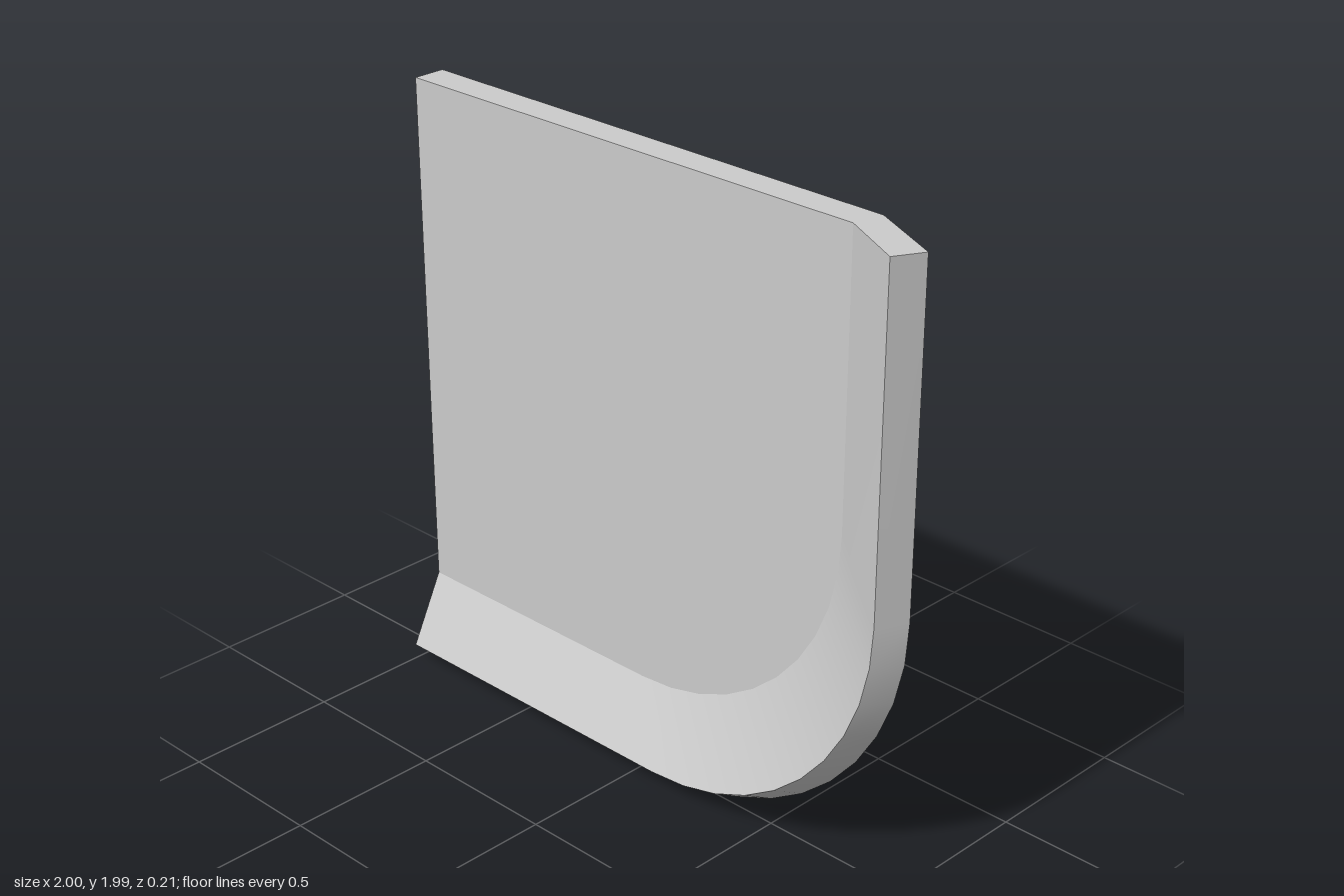
import * as THREE from 'three';

const LEFT = -1, TOP = 1.99, ARC_STEPS = 10;

// An L-shaped edge line: along the bottom, round the corner, up the side
function edgeLine(side, bottom, radius, z) {
  const pts = [new THREE.Vector3(LEFT, bottom, z)];
  for (let i = 0; i <= ARC_STEPS; i++) {
    const a = (i / ARC_STEPS) * Math.PI / 2;
    pts.push(new THREE.Vector3(
      side - radius + radius * Math.sin(a), bottom + radius - radius * Math.cos(a), z));
  }
  pts.push(new THREE.Vector3(side, TOP, z));
  return pts;
}

function makeMesh(name, points, index) {
  const geo = new THREE.BufferGeometry().setFromPoints(points);
  geo.setIndex(index);
  geo.computeVertexNormals();
  const mesh = new THREE.Mesh(geo, new THREE.MeshStandardMaterial({ color: 0xcccccc }));
  mesh.name = name;
  return mesh;
}

// Smooth strip between two edge lines
function strip(name, a, b) {
  const n = a.length, index = [];
  for (let i = 0; i < n - 1; i++) {
    index.push(i, n + i, n + i + 1, i, n + i + 1, i + 1);
  }
  return makeMesh(name, [...a, ...b], index);
}

// Panel face fanned out from its top inner corner
function fan(name, corner, line, flip) {
  const index = [];
  for (let i = 1; i < line.length; i++) {
    index.push(0, flip ? i + 1 : i, flip ? i : i + 1);
  }
  return makeMesh(name, [corner, ...line], index);
}

const quad = (name, ...p) => makeMesh(name, p, [0, 1, 2, 0, 2, 3]);

export function createModel() {
  const group = new THREE.Group();
  group.name = 'flaredCornerPanel';

  // Four edge lines of the flared rim, from the front crease round to the back crease
  const frontCrease = edgeLine(0.73, 0.28, 0.78, -0.008);
  const frontLip = edgeLine(0.95, 0.05, 0.85, 0.105);
  const outerLip = edgeLine(1, 0, 0.9, 0.012);
  const backCrease = edgeLine(0.75, 0.26, 0.8, -0.108);
  const frontCorner = new THREE.Vector3(LEFT, TOP, 0.004);
  const backCorner = new THREE.Vector3(LEFT, TOP, -0.104);

  // Flat panel faces
  group.add(fan('panelFront', frontCorner, frontCrease, false));
  group.add(fan('panelBack', backCorner, backCrease, true));

  // Flared rim
  group.add(strip('rimFront', frontCrease, frontLip));
  group.add(strip('rimEdge', frontLip, outerLip));
  group.add(strip('rimBack', outerLip, backCrease));

  // End caps on the straight side and the top
  const [f0, l0, o0, b0] = [frontCrease, frontLip, outerLip, backCrease].map(e => e[0]);
  const [f1, l1, o1, b1] = [frontCrease, frontLip, outerLip, backCrease].map(e => e[e.length - 1]);
  group.add(quad('panelSideEnd', frontCorner, backCorner, b0, f0));
  group.add(quad('rimSideEnd', f0, b0, o0, l0));
  group.add(quad('panelTopEnd', backCorner, frontCorner, f1, b1));
  group.add(quad('rimTopEnd', f1, l1, o1, b1));

  return group;
}
